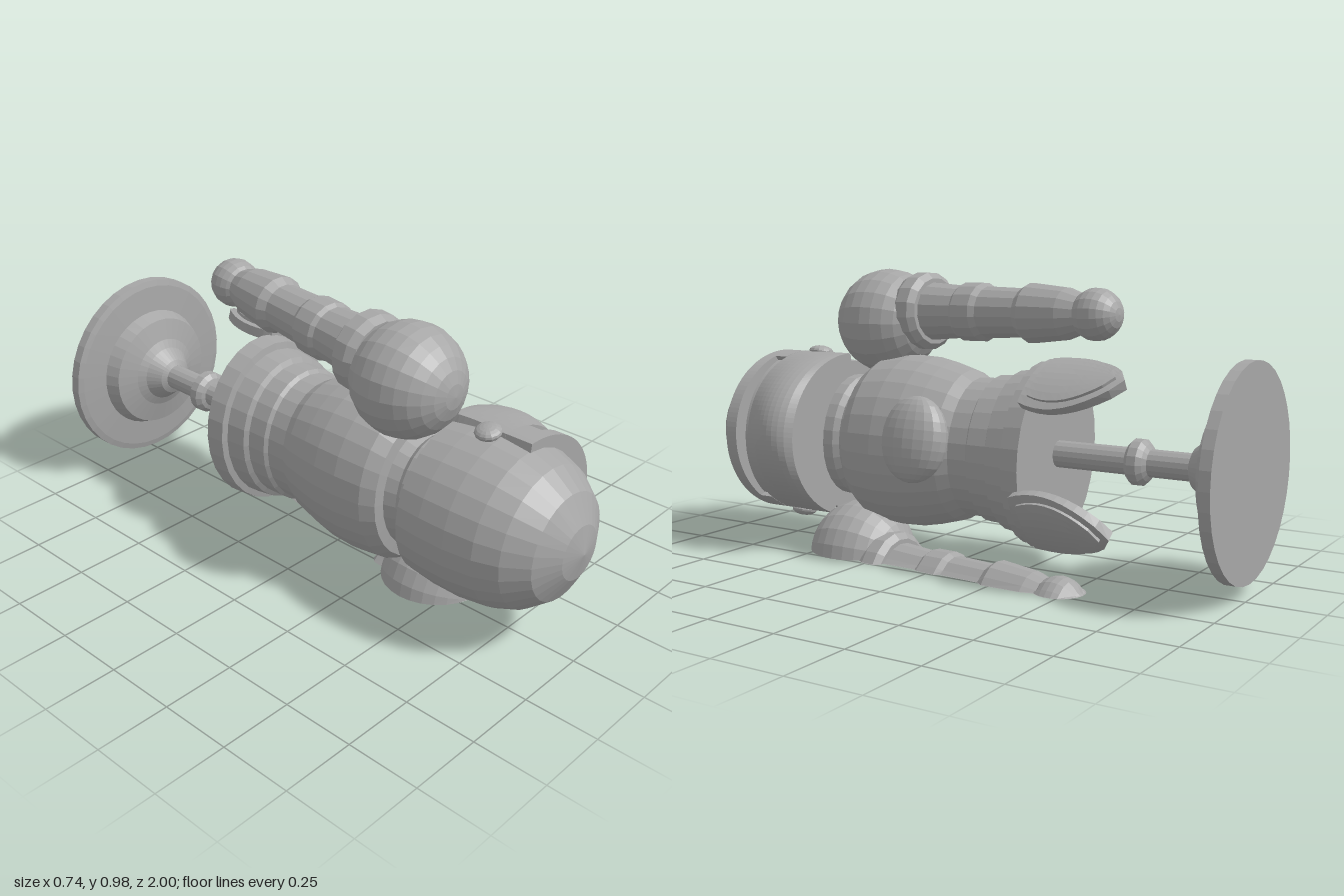
import * as THREE from 'three';

const ROLL = 0.19; // the figure is rolled a little about its long axis
const gray = new THREE.MeshStandardMaterial({ color: 0xa6a6a6, flatShading: true });
gray.name = 'plain gray';

function add(parent, name, geometry, x = 0, y = 0, z = 0) {
  const mesh = new THREE.Mesh(geometry, gray);
  mesh.name = name;
  mesh.position.set(x, y, z);
  parent.add(mesh);
  return mesh;
}

// Profile of [radius, height] pairs turned around the y axis
const turned = (profile, sides) =>
  new THREE.LatheGeometry(profile.map(([r, h]) => new THREE.Vector2(r, h)), sides);

// Apply a rule to every vertex
function reshape(geometry, rule) {
  const p = geometry.attributes.position;
  const v = new THREE.Vector3();
  for (let i = 0; i < p.count; i++) {
    rule(v.fromBufferAttribute(p, i));
    p.setXYZ(i, v.x, v.y, v.z);
  }
  geometry.computeVertexNormals();
  return geometry;
}

// Elliptical arc band facing +x, from angle a0 to a1
function arcBand(ax, ay, inner, a0, a1, depth, steps = 1) {
  const s = new THREE.Shape();
  s.absellipse(0, 0, ax, ay, a0, a1, false, 0);
  s.absellipse(0, 0, inner, inner, a1, a0, true, 0);
  return new THREE.ExtrudeGeometry(s, { depth, steps, bevelEnabled: false, curveSegments: 24 });
}

// Curved leaf-shaped plate wrapped around the body axis
function leaf(angle, radius, size, thick) {
  return reshape(new THREE.BoxGeometry(1, 1, 1, 8, 10, 1), (v) => {
    const t = 0.5 + v.y * size;
    const width = 0.265 * size * Math.pow(Math.max(0, Math.sin(Math.PI * (0.3 + 0.7 * (v.y + 0.5)))), 0.65);
    const a = angle - (v.x * width) / 0.3;
    const r = radius + v.z * thick;
    v.set(r * Math.cos(a), r * Math.sin(a), -0.33 - 0.32 * t);
  });
}

// Shoulder ball, jointed arm and hand; nothing goes below the ground
function arm(parent, side, shoulder, start, hand) {
  const group = new THREE.Group();
  group.name = side + 'Arm';
  parent.add(group);
  const a = new THREE.Vector3(...start), h = new THREE.Vector3(...hand);
  const dir = h.clone().sub(a).normalize();
  const turn = new THREE.Quaternion().setFromUnitVectors(new THREE.Vector3(0, 1, 0), dir);
  const grounded = (g) => reshape(g, (v) => { v.y = Math.max(0, v.y); });

  const ball = new THREE.SphereGeometry(0.185, 20, 14).rotateX(Math.PI / 2);
  add(group, side + 'Shoulder', grounded(ball.translate(...shoulder)));

  const limb = turned([
    [0, 0], [0.12, 0.0], [0.135, 0.03], [0.135, 0.08], [0.115, 0.1],
    [0.1, 0.1], [0.09, 0.23], [0.1, 0.245], [0.1, 0.32], [0.088, 0.34],
    [0.082, 0.49], [0.1, 0.52], [0.085, 0.66], [0.06, 0.73], [0, 0.73],
  ], 16).applyQuaternion(turn);
  add(group, side + 'Limb', grounded(limb.translate(...start)));

  const fist = new THREE.SphereGeometry(0.085, 16, 12).applyQuaternion(turn);
  add(group, side + 'Hand', grounded(fist.translate(...hand)));
}

export function createModel() {
  const model = new THREE.Group();
  model.name = 'recliningFigure';

  // Head, rolled about the long axis
  const head = new THREE.Group();
  head.name = 'head';
  head.position.set(0, 0.39, 0);
  head.rotation.z = ROLL;
  model.add(head);
  add(head, 'helmet', turned([
    [0, 0.49], [0.265, 0.49], [0.275, 0.58], [0.277, 0.68], [0.265, 0.78],
    [0.236, 0.86], [0.178, 0.935], [0.09, 0.982], [0, 1],
  ], 28).rotateX(Math.PI / 2));

  // Face guard: bulging jaw, slot, slot ends and brow
  const end = 1.4, slot = 1.05;
  const jaw = reshape(arcBand(0.33, 0.29, 0.25, -end, end, 0.2, 10), (v) => {
    const t = v.z / 0.2;
    if (Math.hypot(v.x, v.y) > 0.27) v.x *= 1 + 0.13 * Math.sin(Math.PI * Math.pow(t, 0.75));
  });
  add(head, 'jaw', jaw, 0, 0, 0.49);
  add(head, 'eyeSlot', arcBand(0.285, 0.281, 0.25, -slot, slot, 0.05), 0, 0, 0.69);
  add(head, 'upperSlotEnd', arcBand(0.335, 0.29, 0.25, slot, end, 0.05), 0, 0, 0.69);
  add(head, 'lowerSlotEnd', arcBand(0.335, 0.29, 0.25, -end, -slot, 0.05), 0, 0, 0.69);
  add(head, 'brow', arcBand(0.335, 0.29, 0.25, -end, end, 0.045), 0, 0, 0.74);

  for (const s of [1, -1]) {
    const ear = new THREE.SphereGeometry(0.044, 14, 10).scale(1, 0.5, 1);
    add(head, s > 0 ? 'upperEar' : 'lowerEar', ear, 0.035, s * 0.288, 0.64);
  }

  // Torso with neck and stepped skirt, slightly flattened
  const body = new THREE.Group();
  body.name = 'body';
  body.position.set(-0.022, 0.39, 0);
  body.rotation.z = ROLL;
  model.add(body);
  add(body, 'torso', turned([
    [0, -0.34], [0.31, -0.34], [0.302, -0.275], [0.278, -0.27], [0.268, -0.2],
    [0.25, -0.19], [0.248, -0.12], [0.235, -0.11], [0.235, -0.04], [0.258, 0],
    [0.28, 0.08], [0.294, 0.15], [0.298, 0.24], [0.285, 0.34], [0.255, 0.385],
    [0.215, 0.39], [0.2, 0.43], [0.215, 0.45], [0.215, 0.5], [0, 0.5],
  ], 28).rotateX(Math.PI / 2).scale(0.86, 1, 1));
  add(body, 'chestBump',
    new THREE.SphereGeometry(1, 20, 14).scale(0.07, 0.145, 0.125), 0.22, 0, 0.08);

  // Two curved leaf plates below the skirt
  for (const s of [1, -1]) {
    const name = s > 0 ? 'upperLeaf' : 'lowerLeaf';
    add(body, name + 'Rim', leaf(s * 0.87, 0.3, 1, 0.035));
    add(body, name + 'Panel', leaf(s * 0.87, 0.318, 0.82, 0.02));
  }

  // Pole with collar and round base
  add(model, 'standPole', turned([
    [0, -0.85], [0.045, -0.85], [0.045, -0.67], [0.06, -0.66], [0.075, -0.645],
    [0.075, -0.615], [0.06, -0.6], [0.045, -0.595], [0.045, -0.33], [0, -0.33],
  ], 16).rotateX(Math.PI / 2), -0.032, 0.39, 0);
  add(model, 'standBase', turned([
    [0, -1], [0.342, -1], [0.342, -0.963], [0.32, -0.957], [0.225, -0.948],
    [0.205, -0.9], [0.13, -0.88], [0.1, -0.865], [0.065, -0.82], [0.045, -0.81], [0, -0.81],
  ], 36).rotateX(Math.PI / 2), -0.032, 0.39, 0);

  // Arms on both sides
  arm(model, 'upper', [-0.095, 0.796, 0.385], [-0.1, 0.835, 0.28], [-0.005, 0.852, -0.485]);
  arm(model, 'lower', [0.075, -0.012, 0.385], [0.11, -0.05, 0.28], [0.2, -0.035, -0.47]);

  return model;
}
